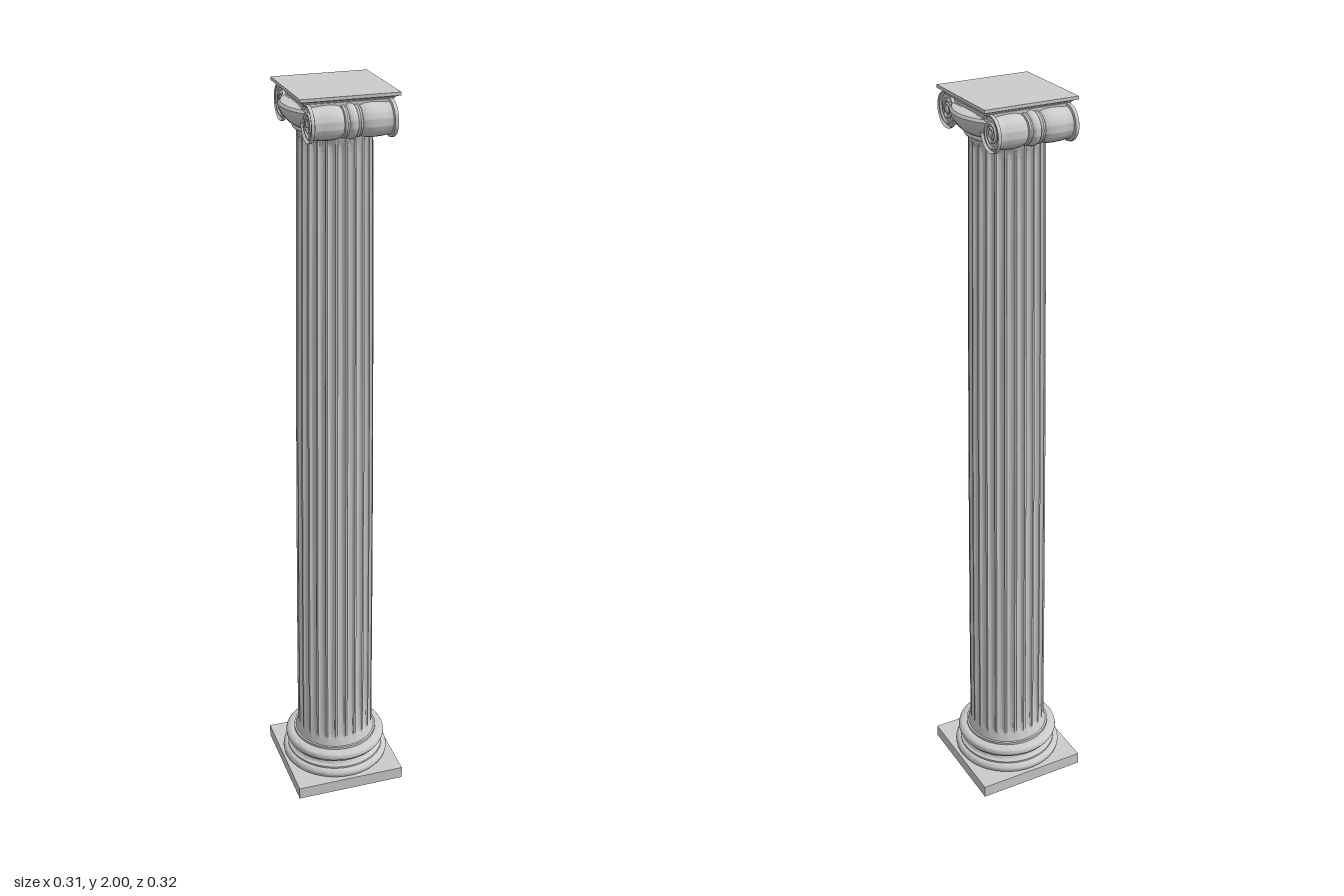
import * as THREE from 'three';
import { toCreasedNormals } from 'three/addons/utils/BufferGeometryUtils.js';

const stone = new THREE.MeshStandardMaterial({ color: 0xcccccc, side: THREE.DoubleSide });
const FLUTES = 24;
const VOLUTE = { y: 1.939, z: 0.113, r: 0.042 };

function add(parent, name, geometry, x = 0, y = 0, z = 0) {
  const mesh = new THREE.Mesh(geometry, stone);
  mesh.name = name;
  mesh.position.set(x, y, z);
  parent.add(mesh);
  return mesh;
}

const lathe = (points, segments = 64) => toCreasedNormals(
  new THREE.LatheGeometry(points.map(([r, y]) => new THREE.Vector2(r, y)), segments), 0.7);

// Half-round moulding as lathe points, from y0 up to y1, bulging out to radius r
function roll(r, y0, y1, steps = 8) {
  const h = (y1 - y0) / 2;
  return Array.from({ length: steps + 1 }, (_, i) => {
    const a = -Math.PI / 2 + (Math.PI * i) / steps;
    return [r - h + h * Math.cos(a), y0 + h + h * Math.sin(a)];
  });
}

// Square slab whose half width follows a [halfWidth, y] profile
function squareProfile(points) {
  const g = new THREE.LatheGeometry(
    points.map(([w, y]) => new THREE.Vector2(w * Math.SQRT2, y)), 4);
  g.rotateY(Math.PI / 4);
  return toCreasedNormals(g, 0.5);
}

// Tapered shaft with round-ended flutes
function shaftGeometry() {
  const y0 = 0.122, y1 = 1.905;
  const rows = [0, 0.006, 0.012, 0.016, 0.02, 0.025, 0.03, 0.15, 0.3, 0.45, 0.6, 0.75, 0.9,
    0.978, 0.983, 0.987, 0.99, 0.993, 1];
  const radial = FLUTES * 10;
  const g = new THREE.CylinderGeometry(1, 1, 1, radial, rows.length - 1, true);
  const p = g.attributes.position;
  for (let i = 0; i < p.count; i++) {
    const row = rows[Math.round((0.5 - p.getY(i)) * (rows.length - 1))];
    const t = 1 - row;
    const column = i % (radial + 1);
    const angle = (column / radial) * Math.PI * 2;
    // entasis plus a small flare at both ends
    let r = 0.108 - 0.005 * t - 0.01 * t * t;
    r += 0.006 * Math.max(0, 1 - t / 0.012) + 0.004 * Math.max(0, 1 - (1 - t) / 0.007);
    const across = ((column % 10) - 5) / 4;
    const end = Math.min(1, Math.max(0, Math.min((t - 0.012) / 0.018, (0.99 - t) / 0.012)));
    const depth = 0.0095 * Math.sqrt(Math.max(0, 1 - across * across)) * Math.sqrt(end);
    r -= depth;
    p.setXYZ(i, Math.sin(angle) * r, y0 + (y1 - y0) * t, Math.cos(angle) * r);
  }
  return toCreasedNormals(g, 0.6);
}

// Raised rib: straight along the channel, then winding into the eye
function voluteRib(side) {
  const points = [];
  for (let i = 0; i < 5; i++) {
    points.push(new THREE.Vector3(0, VOLUTE.y + VOLUTE.r, (side * VOLUTE.z * i) / 5));
  }
  const turns = 2.4, steps = 58;
  for (let i = 0; i <= steps; i++) {
    const a = (turns * Math.PI * 2 * i) / steps;
    const r = VOLUTE.r * Math.pow(0.27, i / steps);
    points.push(new THREE.Vector3(0, VOLUTE.y + r * Math.cos(a),
      side * (VOLUTE.z + r * Math.sin(a))));
  }
  return new THREE.TubeGeometry(new THREE.CatmullRomCurve3(points), 150, 0.0035, 6);
}

export function createModel() {
  const column = new THREE.Group();
  column.name = 'column';

  // Base: plinth open underneath, two rolls with a hollow between
  add(column, 'plinth', squareProfile([[0.156, 0], [0.156, 0.035], [0, 0.035]]));
  add(column, 'baseMouldings', lathe([
    [0.13, 0.035], ...roll(0.152, 0.035, 0.062),
    [0.138, 0.062], [0.138, 0.067], [0.13, 0.07], [0.126, 0.075], [0.126, 0.079],
    [0.13, 0.083], [0.133, 0.084], [0.133, 0.088],
    ...roll(0.143, 0.088, 0.115), [0.119, 0.115], [0.119, 0.122], [0.1, 0.124],
  ]));

  add(column, 'flutedShaft', shaftGeometry());

  // Capital
  const capital = new THREE.Group();
  capital.name = 'capital';
  column.add(capital);

  add(capital, 'neckRing', lathe([[0.085, 1.9], ...roll(0.104, 1.9, 1.911), [0.085, 1.911]]));
  add(capital, 'echinus', lathe([
    [0.09, 1.91], [0.105, 1.912], [0.115, 1.919], [0.124, 1.929], [0.131, 1.94],
    [0.137, 1.952], [0.137, 1.958], [0.131, 1.964], [0.09, 1.966],
  ]));
  add(capital, 'channelBlock',
    new THREE.BoxGeometry(0.198, 0.03, VOLUTE.z * 2), 0, 1.969);

  // Cushion rolls lying along x, pinched by a central strap
  const half = [
    [0, 0.108], [0.034, 0.108], [0.034, 0.1], [0.04, 0.1], [0.0445, 0.107], [0.0455, 0.103],
    [0.0445, 0.098], [0.039, 0.096], [0.038, 0.09], [0.04, 0.075], [0.041, 0.055],
    [0.04, 0.038], [0.037, 0.026], [0.034, 0.023], [0.038, 0.021], [0.039, 0.016],
    [0.036, 0.011], [0.04, 0.008], [0.042, 0.003],
  ].slice(2);
  const profile = [[0, 0.1], ...half, ...half.map(([r, x]) => [r, -x]).reverse(), [0, -0.1]];
  for (const z of [-1, 1]) {
    const bolster = add(capital, 'bolster', lathe(profile.reverse().slice(), 40),
      0, VOLUTE.y, z * VOLUTE.z);
    bolster.rotation.z = Math.PI / 2;
  }

  // Scroll faces on the two sides
  for (const x of [-1, 1]) {
    for (const z of [-1, 1]) {
      add(capital, 'scrollRib', voluteRib(z), x * 0.102);
      const eye = add(capital, 'scrollEye', new THREE.SphereGeometry(0.01, 16, 10),
        x * 0.1, VOLUTE.y, z * VOLUTE.z);
      eye.scale.x = 0.8;
    }
    const rib = add(capital, 'channelRib',
      new THREE.CylinderGeometry(0.003, 0.003, VOLUTE.z * 2, 8), x * 0.1, 1.963);
    rib.rotation.x = Math.PI / 2;
  }

  // Square top slab with a curved underside
  add(capital, 'abacus', squareProfile([
    [0, 1.978], [0.108, 1.978], [0.11, 1.983], [0.114, 1.988], [0.12, 1.991],
    [0.124, 1.992], [0.124, 2], [0, 2],
  ]));
  return column;
}
